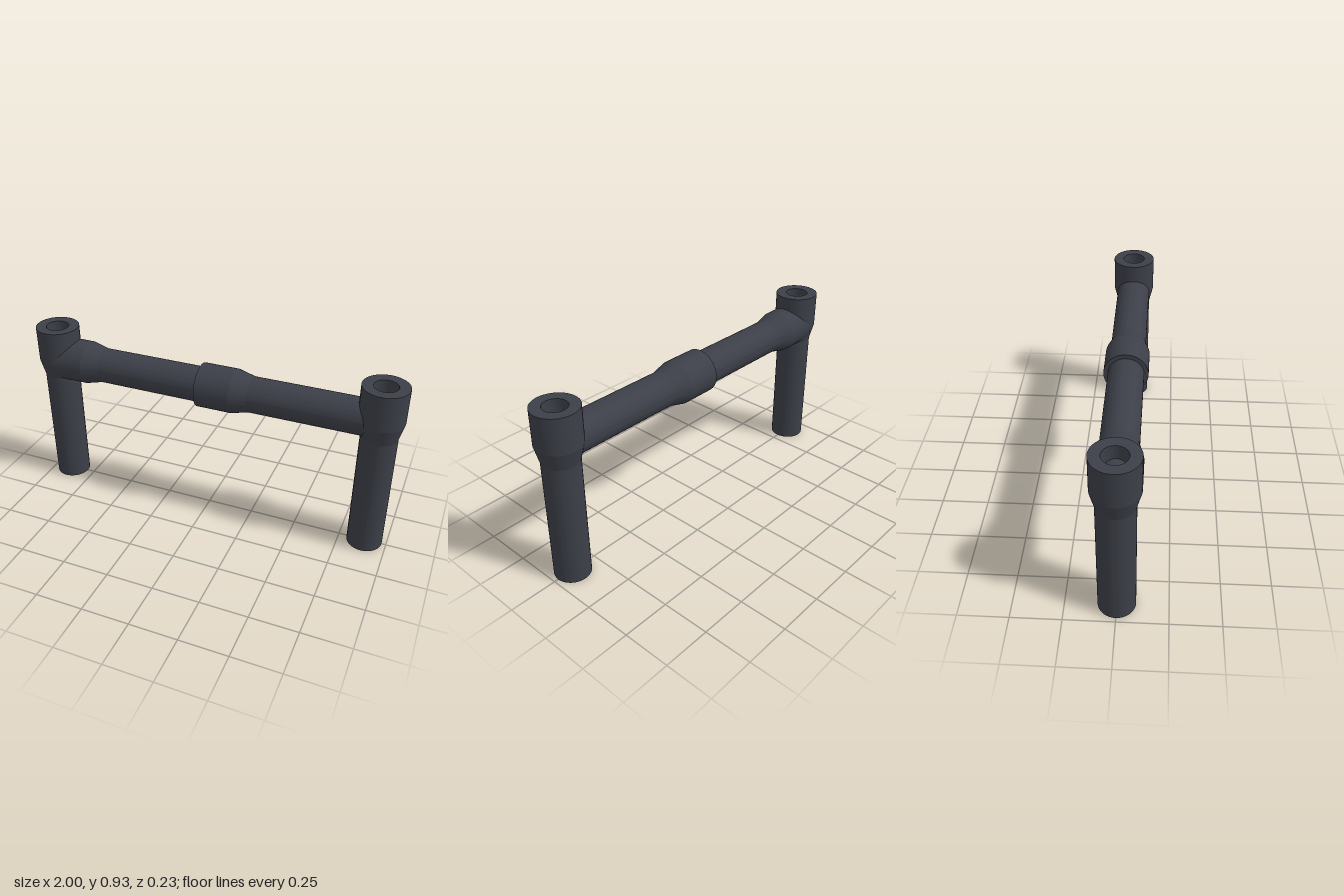
import * as THREE from 'three';
import { toCreasedNormals } from 'three/addons/utils/BufferGeometryUtils.js';

export function createModel() {
  const group = new THREE.Group();
  const material = new THREE.MeshStandardMaterial({ color: 0x3c3f48 });

  // One hollow pipe: plain end at y = 0, flared socket at the top.
  const profile = [
    [0.0925, 0], [0.0925, 0.655], [0.115, 0.745], [0.115, 0.93],
    [0.06, 0.93], [0.06, 0.745], [0.046, 0.655], [0.046, 0], [0.0925, 0],
  ].map(([r, y]) => new THREE.Vector2(r, y));
  const pipe = toCreasedNormals(new THREE.LatheGeometry(profile, 64), 0.2);

  const addPipe = (name, x, y, lying) => {
    const mesh = new THREE.Mesh(pipe, material);
    mesh.name = name;
    mesh.position.set(x, y, 0);
    if (lying) mesh.rotation.z = Math.PI / 2;
    group.add(mesh);
  };

  // Upright pipes, sockets up
  addPipe('rightPost', -0.885, 0, false);
  addPipe('leftPost', 0.885, 0, false);

  // Crossbar: two pipes, the right one's plain end inside the left one's socket
  addPipe('rightCrossPipe', 0.045, 0.745, true);
  addPipe('leftCrossPipe', 0.885, 0.745, true);

  return group;
}
